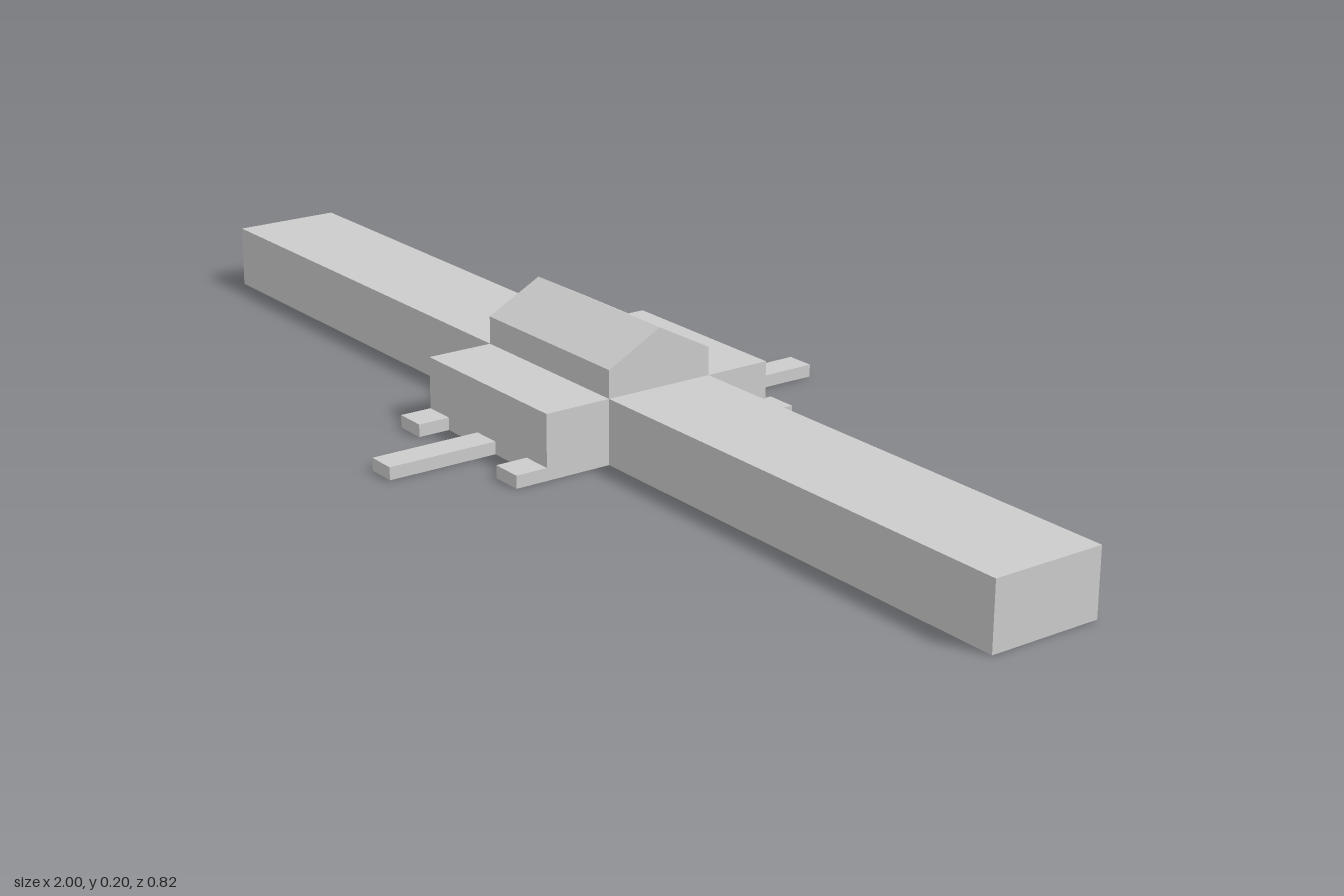
import * as THREE from 'three';

export function createModel() {
  const group = new THREE.Group();
  const material = new THREE.MeshStandardMaterial({ color: 0xcccccc, flatShading: true });

  const add = (name, geometry) => {
    const mesh = new THREE.Mesh(geometry, material);
    mesh.name = name;
    group.add(mesh);
  };

  // Box standing on the ground, given by its x and z limits
  const block = (name, x0, x1, z0, z1, height) => {
    const geometry = new THREE.BoxGeometry(x1 - x0, height, z1 - z0);
    geometry.translate((x0 + x1) / 2, height / 2, (z0 + z1) / 2);
    add(name, geometry);
  };

  const left = 0.162, right = -0.165; // sides of the central hall
  const wall = 0.107;                 // shared wall height
  const front = 0.105, back = -0.085; // depth of the long wings

  // Wings on either side of the central hall
  block('leftWing', left, 1, back, front, wall);
  block('rightWing', -1, right, back, front, wall);
  block('centralHall', right, left, -0.2, 0.22, wall);

  // Raised storey with a gabled roof, its ridge along x
  const gable = new THREE.Shape([
    [back, wall], [front, wall], [front, 0.153], [(front + back) / 2, 0.203], [back, 0.153],
  ].map(([z, y]) => new THREE.Vector2(z, y)));
  const roof = new THREE.ExtrudeGeometry(gable, { depth: left - right, bevelEnabled: false });
  roof.rotateY(-Math.PI / 2);
  roof.translate(left, 0, 0);
  add('gabledRoof', roof);

  // Low platforms before and behind the hall: a long one between two short ones
  const platforms = [
    ['rightPlatform', right, -0.111, 0.275, -0.256],
    ['middlePlatform', -0.028, 0.022, 0.41, -0.41],
    ['leftPlatform', 0.108, left, 0.275, -0.256],
  ];
  for (const [name, x0, x1, zFront, zBack] of platforms) {
    block(name + 'Front', x0, x1, 0.22, zFront, 0.021);
    block(name + 'Back', x0, x1, zBack, -0.2, 0.021);
  }

  return group;
}
